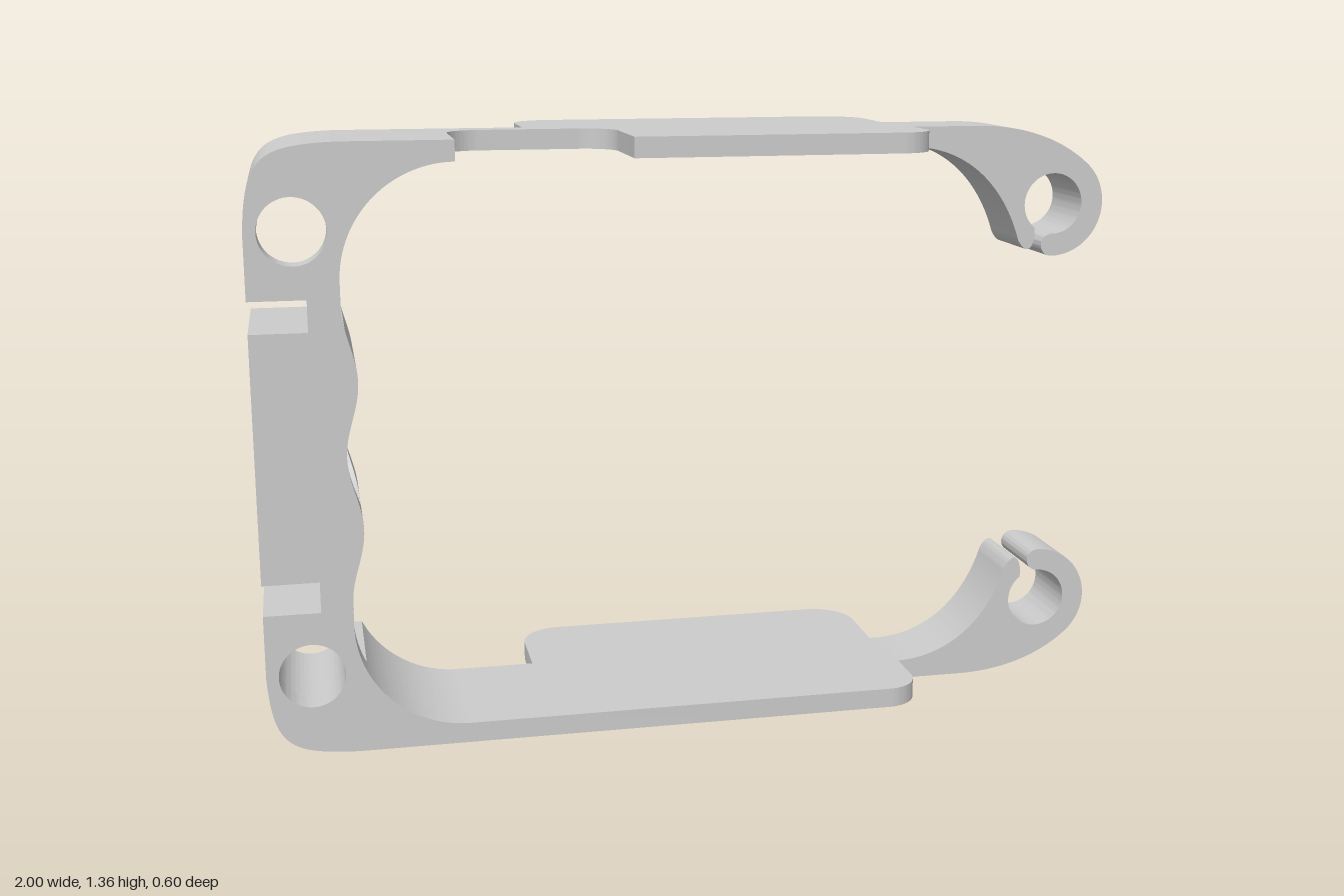
import * as THREE from 'three';
import { toCreasedNormals } from 'three/addons/utils/BufferGeometryUtils.js';

const H = 1.356, MID = H / 2, T = 0.046;      // height, mirror plane, plate thickness
const BACK = -0.05, FRONT = 0.295;            // depth of the main band
const HOLE = { z: 0.14, r: 0.145 };           // big sideways bore
const RAD = Math.PI / 180;

// Wavy inner edge of the side block
const wave = y => -0.79 - 0.015 * Math.cos((2 * Math.PI * (y - MID)) / 0.33);
const bore = y => Math.sqrt(Math.max(0, HOLE.r ** 2 - (y - MID) ** 2));

export function createModel() {
  const group = new THREE.Group();
  const material = new THREE.MeshStandardMaterial({ color: 0xcccccc });

  const add = (name, geometry) => {
    const mesh = new THREE.Mesh(toCreasedNormals(geometry, 0.5), material);
    mesh.name = name;
    group.add(mesh);
  };

  // Copy mirrored top to bottom, with the winding restored
  const mirrored = geometry => {
    const g = geometry.index ? geometry.toNonIndexed() : geometry.clone();
    const p = g.attributes.position;
    const a = new THREE.Vector3(), b = new THREE.Vector3();
    for (let i = 0; i < p.count; i++) p.setY(i, H - p.getY(i));
    for (let i = 0; i < p.count; i += 3) {
      a.fromBufferAttribute(p, i + 1);
      b.fromBufferAttribute(p, i + 2);
      p.setXYZ(i + 1, b.x, b.y, b.z);
      p.setXYZ(i + 2, a.x, a.y, a.z);
    }
    return g;
  };
  const addPair = (name, geometry) => {
    add('upper' + name, geometry);
    add('lower' + name, mirrored(geometry));
  };

  const extrudeZ = (shape, z0, z1) =>
    new THREE.ExtrudeGeometry(shape, { depth: z1 - z0, bevelEnabled: false, curveSegments: 32 }).translate(0, 0, z0);

  // Block between heights y0 and y1 whose sides follow functions of height
  const loft = (y0, y1, x0, z0, z1) => {
    const g = new THREE.BoxGeometry(1, 1, 1, 1, 24, 1);
    const p = g.attributes.position;
    for (let i = 0; i < p.count; i++) {
      const y = y0 + (y1 - y0) * Math.sin((p.getY(i) + 0.5) * Math.PI / 2);
      p.setXYZ(i, p.getX(i) < 0 ? x0 : wave(y), y, p.getZ(i) < 0 ? z0(y) : z1(y));
    }
    return g;
  };

  // Upper and lower plates, drawn in plan with shape y = -z
  const plate = notched => {
    const s = new THREE.Shape();
    s.moveTo(-0.555, -BACK);
    s.lineTo(-0.37, -BACK);
    s.lineTo(-0.37, 0.2);
    s.absarc(-0.27, 0.2, 0.1, Math.PI, Math.PI / 2, true);
    s.absarc(0.4, 0.2, 0.1, Math.PI / 2, 0, true);
    s.lineTo(0.5, -BACK);
    s.lineTo(0.52, -BACK);
    s.absarc(0.44, -FRONT + 0.08, 0.08, 0, -Math.PI / 2, true);
    if (notched) {
      s.lineTo(-0.17, -FRONT);
      s.absarc(-0.25, -0.095, 0.08, 0, Math.PI / 2, false);
      s.absarc(-0.475, -0.095, 0.08, Math.PI / 2, Math.PI, false);
    } else {
      s.lineTo(-0.555, -FRONT);
    }
    return new THREE.ExtrudeGeometry(s, { depth: T, bevelEnabled: false, curveSegments: 16 }).rotateX(-Math.PI / 2);
  };
  add('upperPlate', plate(true).translate(0, H - T, 0));
  add('lowerPlate', plate(false));

  // Clip arms with an open ring at the end
  const arm = new THREE.Shape();
  arm.moveTo(0.52, H);
  arm.lineTo(0.68, H);
  arm.bezierCurveTo(0.78, H, 0.88, 1.33, 0.955, 1.266);
  arm.absarc(0.875, 1.17, 0.125, 50 * RAD, -90 * RAD, true);
  arm.absarc(0.875, 1.0715, 0.0265, -90 * RAD, -270 * RAD, true);
  arm.absarc(0.875, 1.17, 0.072, -90 * RAD, 232 * RAD, false);
  arm.bezierCurveTo(0.835, 1.07, 0.815, 1.04, 0.79, 1.085);
  arm.bezierCurveTo(0.755, 1.2, 0.67, 1.305, 0.52, H - T);
  addPair('ClipArm', extrudeZ(arm, BACK, 0.12));

  // Rounded corners: an open trough behind, a pierced wall in front
  const outerCorner = () => {
    const s = new THREE.Shape();
    s.moveTo(-0.555, H);
    s.lineTo(-0.8, H);
    s.bezierCurveTo(-0.96, 1.35, -0.99, 1.33, -1, 1.17);
    return s;
  };
  const trough = outerCorner();
  trough.lineTo(-0.973, 1.17);
  trough.absarc(-0.9, 1.17, 0.073, Math.PI, 0, true);
  trough.absarc(-0.555, 1.06, 0.25, 153.9 * RAD, 90 * RAD, true);
  addPair('CornerTrough', extrudeZ(trough, BACK, 0.23));

  const wall = outerCorner();
  wall.lineTo(-1, 1.025);
  wall.lineTo(-0.805, 1.025);
  wall.absarc(-0.555, 1.06, 0.25, Math.PI, Math.PI / 2, true);
  wall.holes.push(new THREE.Path().absarc(-0.9, 1.17, 0.073, 0, 2 * Math.PI, false));
  addPair('CornerWall', extrudeZ(wall, 0.23, FRONT));

  // Thin fins beside the slots, and the strips that bridge the slots
  addPair('Fin', new THREE.BoxGeometry(0.195, 0.025, 0.28).translate(-0.9025, 1.0375, 0.09));
  addPair('SlotBridge', loft(0.955, 1.025, -0.875, () => 0.275, () => FRONT));

  // Side block around the sideways bore
  const inner = 0.005, top = MID + HOLE.r, gap = 0.057;
  addPair('BlockFront', loft(MID, top, -1, y => HOLE.z + bore(y), () => FRONT));
  addPair('BlockJaw', loft(MID + gap, top, -1, () => inner, y => HOLE.z - bore(y)));
  addPair('BlockEnd', loft(top, 0.955, -1, () => inner, () => FRONT));

  // Back layer of the block with its round recesses
  const back = new THREE.Shape();
  back.moveTo(-1, 0.955);
  back.lineTo(-1, MID + gap);
  for (let i = 0; i <= 24; i++) {
    const y = MID + gap + (0.955 - MID - gap) * i / 24;
    back.lineTo(wave(y), y);
  }
  back.holes.push(new THREE.Path().absarc(-0.89, 0.843, 0.08, 0, 2 * Math.PI, false));
  addPair('BlockBack', extrudeZ(back, BACK, inner));

  return group;
}
